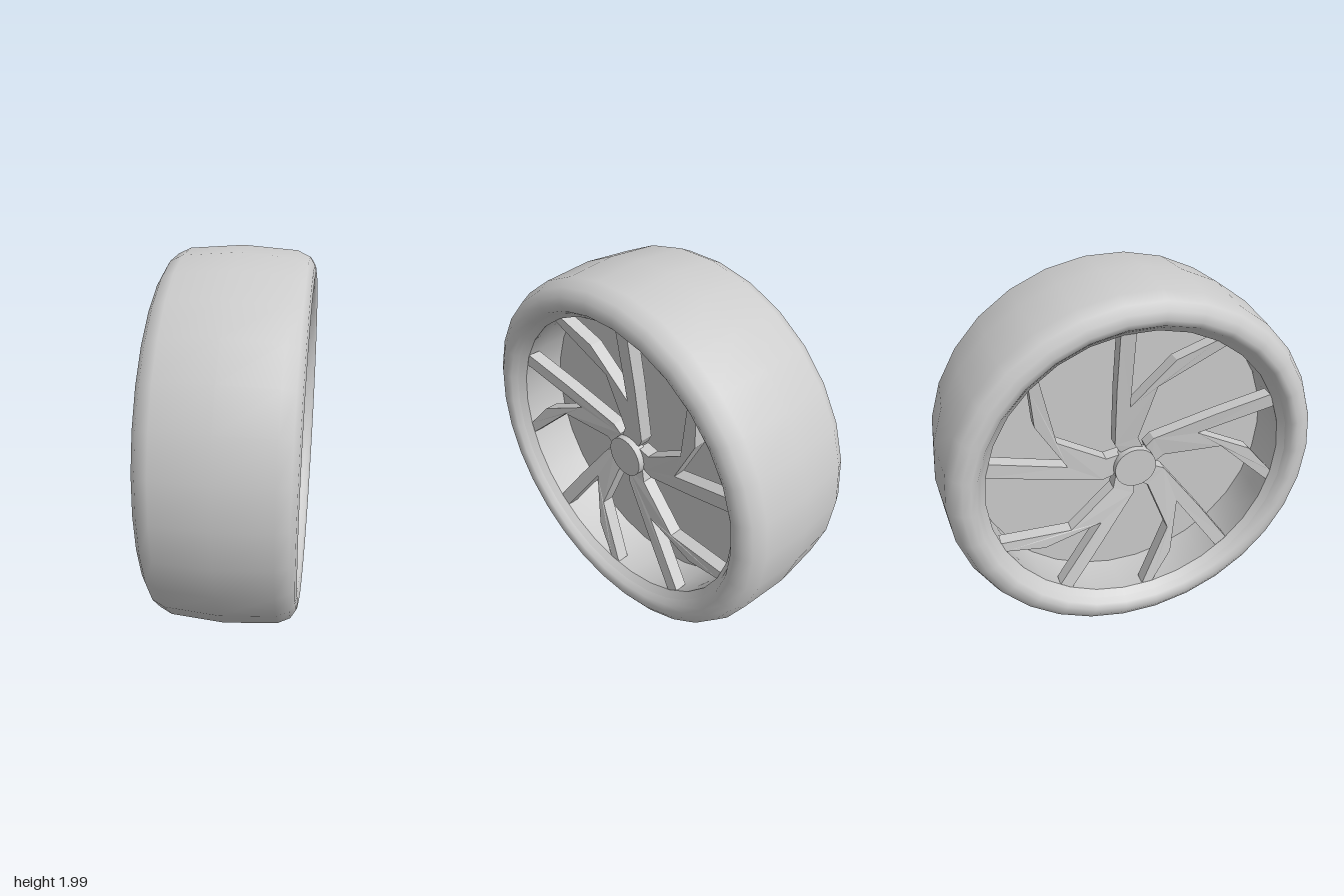
import * as THREE from 'three';

const SIDES = 30;
const CENTRE_Y = 0.9945;

export function createModel() {
  const wheel = new THREE.Group();
  wheel.name = 'wheel';
  const grey = new THREE.MeshStandardMaterial({ color: 0xcccccc });
  grey.name = 'light grey';

  const add = (name, geometry) => {
    const mesh = new THREE.Mesh(geometry, grey);
    mesh.name = name;
    wheel.add(mesh);
    return mesh;
  };

  // Ring turned about the x axis; profile points are [radius, x]
  const ring = (name, profile) => {
    const points = profile.map(([r, x]) => new THREE.Vector2(r, x));
    add(name, new THREE.LatheGeometry(points, SIDES).rotateZ(-Math.PI / 2));
  };

  // Tyre: tread and rounded sidewalls, mirrored about the middle
  const half = [[0.82, 0.32], [0.84, 0.352], [0.87, 0.365], [0.91, 0.358], [0.95, 0.333], [0.98, 0.27]];
  ring('tyre', [
    ...half.map(([r, x]) => [r, -x]),
    [1, 0],
    ...half.slice().reverse(),
  ]);

  // Inside of the rim: a bevelled lip on each side and the barrel between
  ring('leftRimLip', [[0.82, 0.32], [0.79, 0.285]]);
  ring('rightRimLip', [[0.79, -0.285], [0.82, -0.32]]);
  ring('rimBarrel', [[0.79, 0.285], [0.815, 0.15], [0.82, 0], [0.815, -0.15], [0.79, -0.285]]);

  // Wall across the middle of the barrel
  add('centreDisc', new THREE.CylinderGeometry(0.82, 0.82, 0.03, SIDES).rotateZ(-Math.PI / 2));

  // Forked spoke outline: one straight branch and one bent branch
  const outline = [
    [0.075, 0.094], [0.104, 0.146], [0.105, 0.49], [0.098, 0.785], [0.021, 0.79],
    [0.032, 0.37], [-0.19, 0.608], [-0.39, 0.69], [-0.44, 0.655], [-0.107, 0.468],
    [-0.021, 0.166], [-0.053, 0.091],
  ];
  const thickness = 0.07;
  const spokeGeometry = (side) => {
    const shape = new THREE.Shape(outline.map(([u, v]) => new THREE.Vector2(u * side, v)));
    const geometry = new THREE.ExtrudeGeometry(shape, { depth: thickness, bevelEnabled: false });
    // Lean the spoke outwards towards the rim
    const p = geometry.attributes.position;
    for (let i = 0; i < p.count; i++) {
      p.setZ(i, p.getZ(i) + 0.185 - thickness + 0.125 * Math.hypot(p.getX(i), p.getY(i)));
    }
    geometry.rotateY(side * Math.PI / 2);
    geometry.computeVertexNormals();
    return geometry;
  };

  // Five spokes and a hub cap on each face
  for (const side of [1, -1]) {
    const label = side > 0 ? 'left' : 'right';
    const geometry = spokeGeometry(side);
    for (let i = 0; i < 5; i++) {
      add(`${label}Spoke${i + 1}`, geometry).rotation.x = (i * Math.PI * 2) / 5;
    }
    const hub = new THREE.CylinderGeometry(0.112, 0.112, 0.065, SIDES).rotateZ(-Math.PI / 2);
    add(`${label}HubCap`, hub).position.x = side * 0.2025;
  }

  for (const part of wheel.children) part.position.y = CENTRE_Y;
  return wheel;
}
